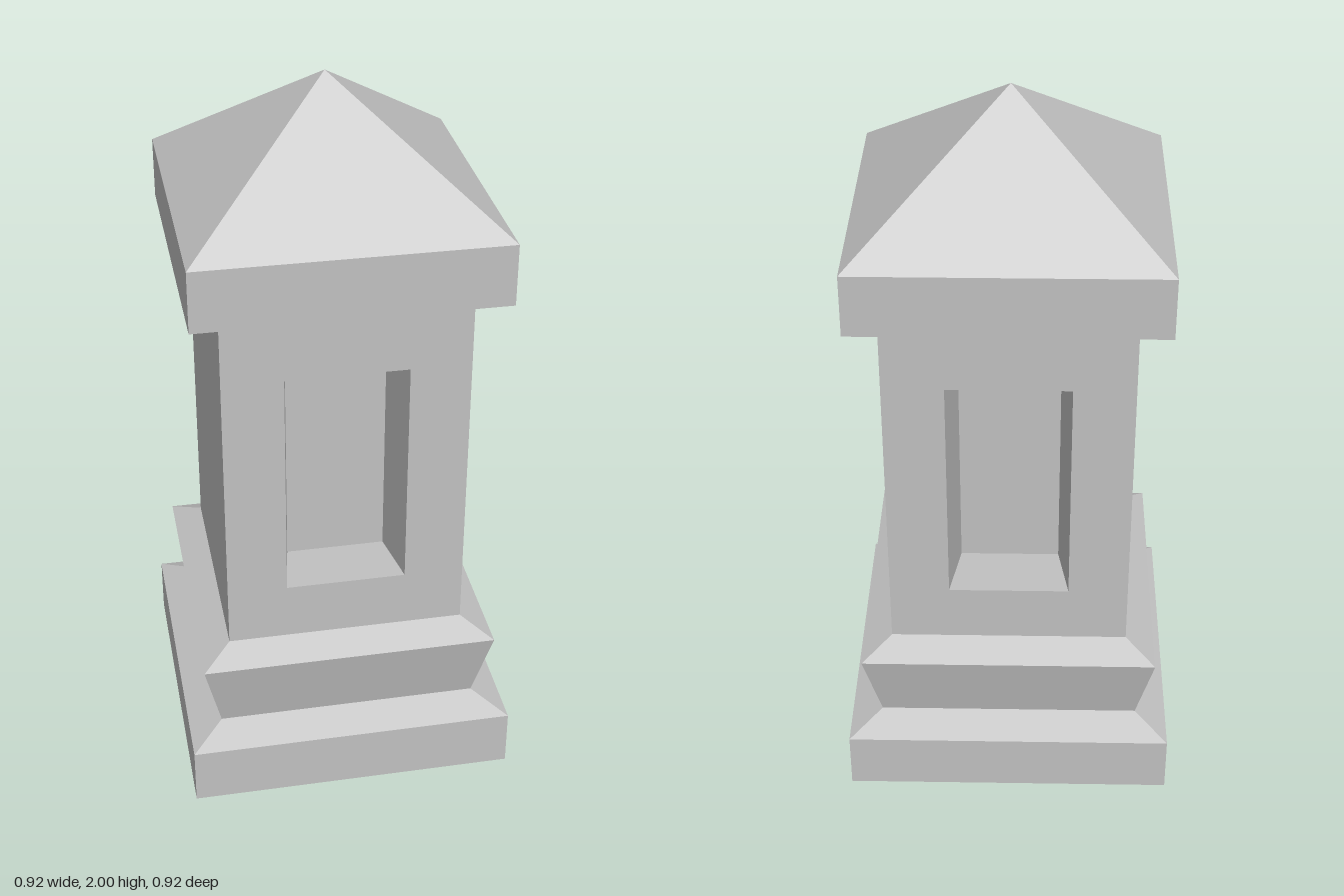
import * as THREE from 'three';

// Flat-faced geometry from a list of quads, corners counter-clockwise from outside
function fromQuads(quads) {
  const pos = [];
  for (const [a, b, c, d] of quads) pos.push(...a, ...b, ...c, ...a, ...c, ...d);
  const g = new THREE.BufferGeometry();
  g.setAttribute('position', new THREE.Float32BufferAttribute(pos, 3));
  g.computeVertexNormals();
  return g;
}

// Square block whose half width changes from r0 at y0 to r1 at y1
function block(r0, y0, r1, y1) {
  const g = new THREE.BoxGeometry(2, 1, 2);
  const p = g.attributes.position;
  for (let i = 0; i < p.count; i++) {
    const top = p.getY(i) > 0;
    const r = top ? r1 : r0;
    p.setXYZ(i, p.getX(i) * r, top ? y1 : y0, p.getZ(i) * r);
  }
  const flat = g.toNonIndexed();
  flat.computeVertexNormals();
  return flat;
}

// Rectangle corners, counter-clockwise seen from +z
const rect = (w, y0, y1, z) => [[-w, y0, z], [w, y0, z], [w, y1, z], [-w, y1, z]];

// Quads joining one rectangle to a smaller or deeper one
const join = (outer, inner) => outer.map((p, i) => {
  const j = (i + 1) % 4;
  return [p, outer[j], inner[j], inner[i]];
});

export function createModel() {
  const model = new THREE.Group();
  const stone = new THREE.MeshStandardMaterial({ color: 0xc0c0c0 });
  stone.name = 'greyStone';

  const add = (name, geometry) => {
    const mesh = new THREE.Mesh(geometry, stone);
    mesh.name = name;
    model.add(mesh);
    return mesh;
  };

  // Stepped base
  add('plinth', block(0.458, 0, 0.458, 0.167));
  add('plinthSlope', block(0.458, 0.167, 0.367, 0.208));
  add('flaredBase', block(0.367, 0.208, 0.415, 0.42));
  add('flaredBaseSlope', block(0.415, 0.42, 0.333, 0.46));

  // Shaft: front and back faces hold a tapered niche, the sides are plain
  const R = 0.333, Y0 = 0.46, Y1 = 1.46;
  const edge = rect(R, Y0, Y1, R);
  const mouth = rect(0.167, 0.625, 1.292, R);
  const recess = rect(0.139, 0.625, 1.21, R - 0.167);
  const nicheFace = fromQuads([...join(edge, mouth), ...join(mouth, recess), recess]);
  const plainFace = fromQuads([edge]);
  ['Front', 'Left', 'Back', 'Right'].forEach((side, i) => {
    add('shaft' + side, i % 2 ? plainFace : nicheFace).rotation.y = i * Math.PI / 2;
  });

  // Cap and pyramid roof
  add('capSlope', block(0.333, 1.46, 0.415, 1.5));
  add('cap', block(0.415, 1.5, 0.415, 1.67));
  const roof = new THREE.ConeGeometry(0.415 * Math.SQRT2, 0.33, 4, 1, true).toNonIndexed();
  roof.rotateY(Math.PI / 4);
  roof.translate(0, 1.835, 0);
  roof.computeVertexNormals();
  add('roof', roof);

  return model;
}
